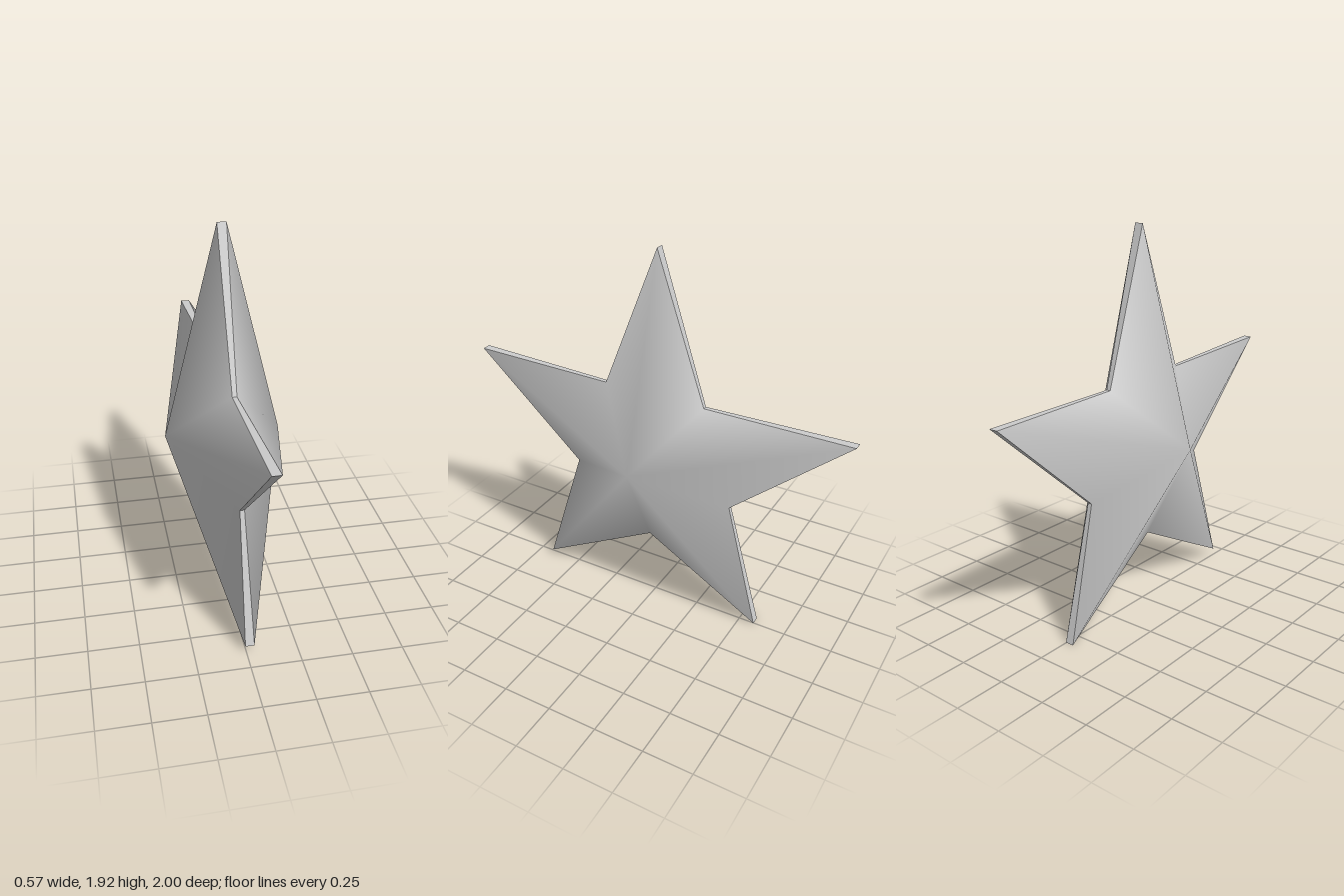
import * as THREE from 'three';

// Star outline as [z, y], alternating tip and notch
const OUTLINE = [
  [-0.02, 1.92], [0.27, 1.19], [1.0, 1.22], [0.45, 0.69], [0.65, 0.04],
  [0.03, 0.36], [-0.58, 0.0], [-0.41, 0.66], [-1.0, 1.17], [-0.26, 1.175],
];
const CENTRE = { y: 0.87, z: 0.005 };
const PEAK = 0.285, TIP_HALF = 0.022, NOTCH_HALF = 0.011;

// Rim corner on one side; the star's plane is turned slightly about the vertical
function rimPoint(i, side) {
  const k = i % OUTLINE.length;
  const [z, y] = OUTLINE[k];
  const mid = 0.029 * z + 0.0035 * (y - CENTRE.y);
  return [mid + side * (k % 2 ? NOTCH_HALF : TIP_HALF), y, z];
}

function makeGeometry(points, index) {
  const g = new THREE.BufferGeometry();
  g.setAttribute('position', new THREE.Float32BufferAttribute(points.flat(), 3));
  g.setIndex(index);
  g.computeVertexNormals();
  return g;
}

// Smooth fan from the raised centre to the outline
function faceGeometry(side) {
  const n = OUTLINE.length;
  const points = [[side * PEAK, CENTRE.y, CENTRE.z - side * 0.006]];
  const index = [];
  for (let i = 0; i < n; i++) {
    points.push(rimPoint(i, side));
    const a = 1 + i, b = 1 + (i + 1) % n;
    index.push(0, ...(side > 0 ? [a, b] : [b, a]));
  }
  return makeGeometry(points, index);
}

// Thin edge band with a separate flat quad for each outline segment
function rimGeometry() {
  const points = [], index = [];
  OUTLINE.forEach((_, i) => {
    const o = points.length;
    points.push(rimPoint(i, 1), rimPoint(i, -1), rimPoint(i + 1, -1), rimPoint(i + 1, 1));
    index.push(o, o + 1, o + 2, o, o + 2, o + 3);
  });
  return makeGeometry(points, index);
}

export function createModel() {
  const group = new THREE.Group();
  group.name = 'star';
  const material = new THREE.MeshStandardMaterial({ color: 0xcccccc });
  const add = (name, geometry) => {
    const mesh = new THREE.Mesh(geometry, material);
    mesh.name = name;
    group.add(mesh);
  };
  add('leftFace', faceGeometry(1));
  add('rightFace', faceGeometry(-1));
  add('rim', rimGeometry());
  return group;
}
